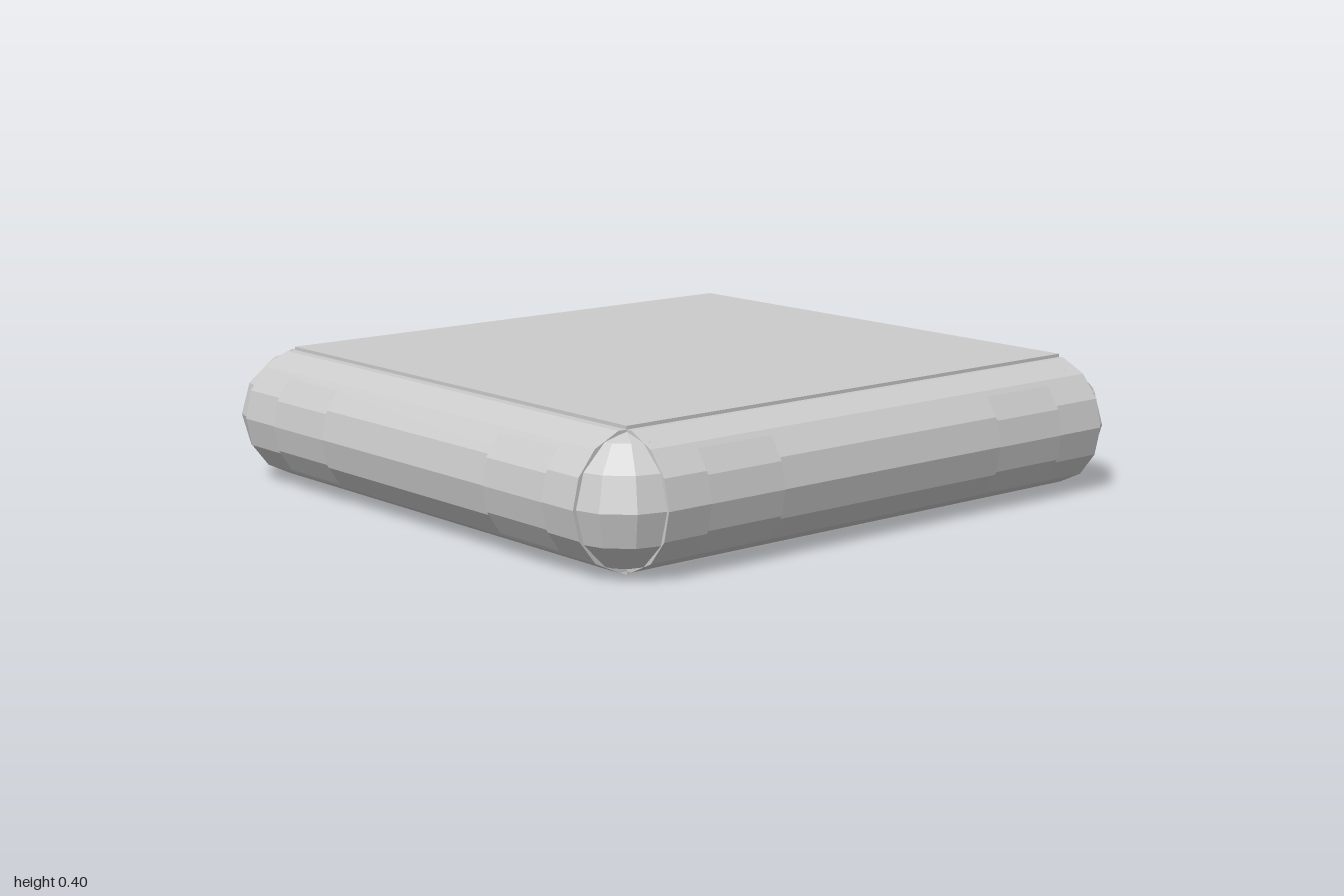
import * as THREE from 'three';

const R = 0.195, MID = 0.2, CX = 0.805, CZ = 0.77;

export function createModel() {
  const model = new THREE.Group();
  model.name = 'cushion';
  const material = new THREE.MeshStandardMaterial({ color: 0xcccccc, flatShading: true });
  const padMaterial = new THREE.MeshStandardMaterial({ color: 0xcccccc, flatShading: true, side: THREE.DoubleSide });

  const add = (parent, name, geometry, x, y, z, mat = material) => {
    const mesh = new THREE.Mesh(geometry, mat);
    mesh.name = name;
    mesh.position.set(x, y, z);
    parent.add(mesh);
    return mesh;
  };

  // Flat core, slightly proud of the rounded edges
  add(model, 'core', new THREE.BoxGeometry(1.68, 0.4, 1.59), 0.02, MID, 0);

  // One rounded edge facing +z locally, with two thin pads wrapped around its outside
  const addEdge = (name, angle, distance, length, shift, padCentres) => {
    const edge = new THREE.Group();
    edge.name = name;
    edge.position.y = MID;
    edge.rotation.y = angle;
    const roll = new THREE.CylinderGeometry(R, R, length, 14).rotateZ(Math.PI / 2);
    add(edge, 'roll', roll, shift, 0, distance);
    for (const x of padCentres) {
      const pad = new THREE.CylinderGeometry(R + 0.002, R + 0.002, 0.26, 4, 1, true, -Math.PI / 4, Math.PI / 2);
      add(edge, 'pad', pad.rotateZ(Math.PI / 2), x, 0, distance, padMaterial);
    }
    model.add(edge);
  };
  addEdge('frontEdge', 0, CZ, 1.68, 0.02, [-0.545, 0.555]);
  addEdge('backEdge', Math.PI, CZ, 1.68, -0.02, [0.545, -0.555]);
  addEdge('leftEdge', Math.PI / 2, CX, 1.59, 0, [-0.535, 0.505]);
  addEdge('rightEdge', -Math.PI / 2, CX, 1.59, 0, [0.535, -0.505]);

  // Rounded corners
  for (const sx of [-1, 1]) {
    for (const sz of [-1, 1]) {
      const name = (sz > 0 ? 'front' : 'back') + (sx > 0 ? 'Left' : 'Right') + 'Corner';
      add(model, name, new THREE.SphereGeometry(0.192, 12, 6), sx * CX, MID, sz * CZ);
    }
  }
  return model;
}
